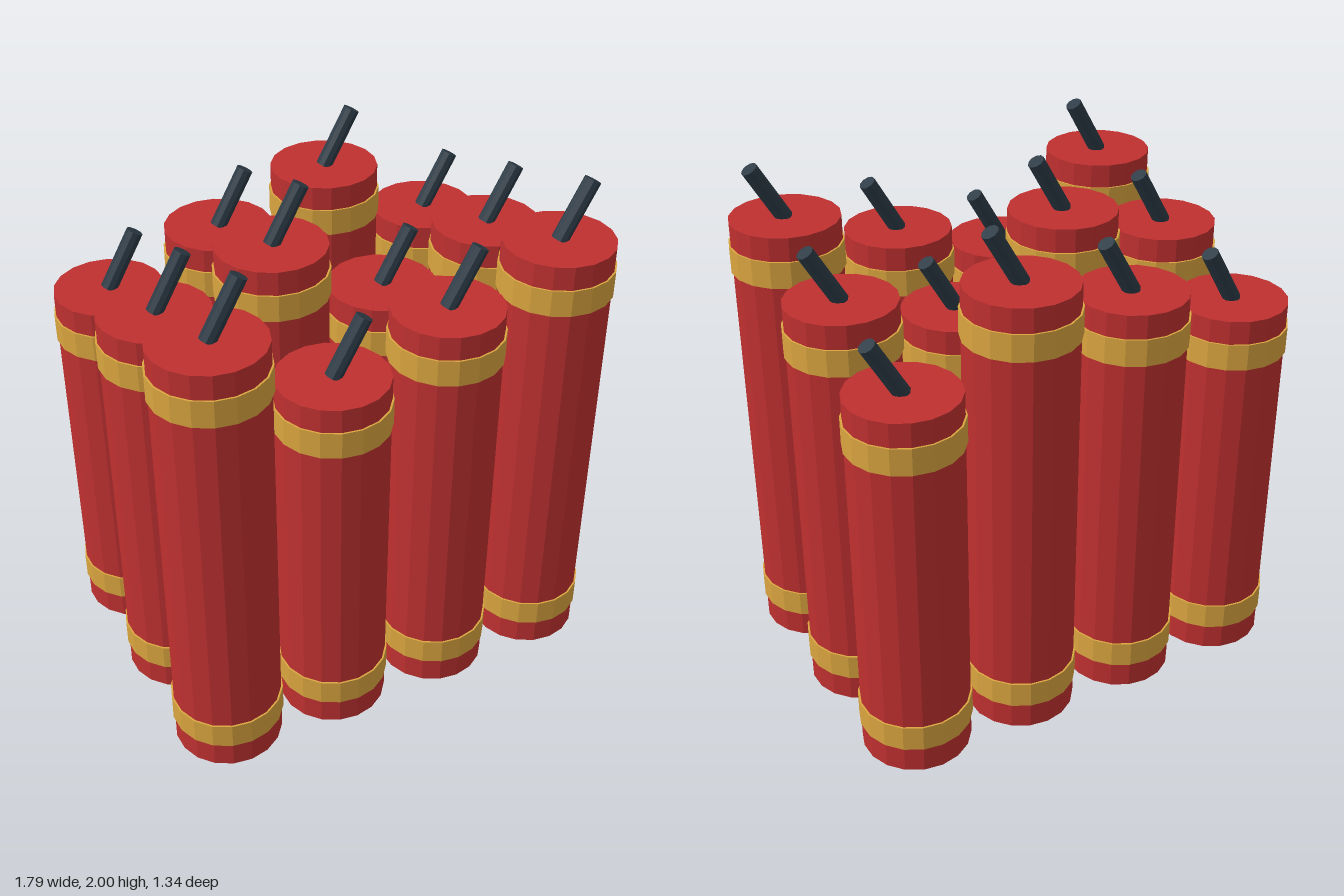
import * as THREE from 'three';

export function createModel() {
  const model = new THREE.Group();
  model.name = 'firecrackerBundle';

  const mat = (name, color) => {
    const m = new THREE.MeshStandardMaterial({ color, flatShading: true });
    m.name = name;
    return m;
  };
  const red = mat('red paper', 0xc03030);
  const gold = mat('gold band', 0xdaa53f);
  const slate = mat('dark fuse', 0x2c3a45);

  const SIDES = 18, PITCH = 0.457;
  const BAND_H = 0.103, FUSE_LEN = 0.241, TILT = Math.PI / 6;

  const bandGeo = new THREE.CylinderGeometry(0.214, 0.214, BAND_H, SIDES);
  // Fuse pivots at its lower end and leans towards +x
  const fuseGeo = new THREE.CylinderGeometry(0.032, 0.032, FUSE_LEN, 10);
  fuseGeo.translate(0, FUSE_LEN / 2, 0);
  fuseGeo.rotateZ(-TILT);

  const add = (parent, name, geo, material, y) => {
    const mesh = new THREE.Mesh(geo, material);
    mesh.name = name;
    mesh.position.y = y;
    parent.add(mesh);
  };

  // One stick: tube, two bands and a slanted fuse
  function makeStick(height) {
    const stick = new THREE.Group();
    stick.name = 'stick';
    add(stick, 'tube', new THREE.CylinderGeometry(0.207, 0.207, height, SIDES), red, height / 2);
    add(stick, 'lowerBand', bandGeo, gold, 0.157);
    add(stick, 'upperBand', bandGeo, gold, height - 0.143);
    add(stick, 'fuse', fuseGeo, slate, height - 0.005);
    return stick;
  }

  // Four by three grid, heights stepping diagonally
  for (let i = 0; i < 4; i++) {
    for (let j = 0; j < 3; j++) {
      const stick = makeStick(1.49 + ((i + j) % 3) * 0.145);
      stick.position.set((i - 1.5) * PITCH, 0, (j - 1) * PITCH);
      model.add(stick);
    }
  }
  return model;
}
